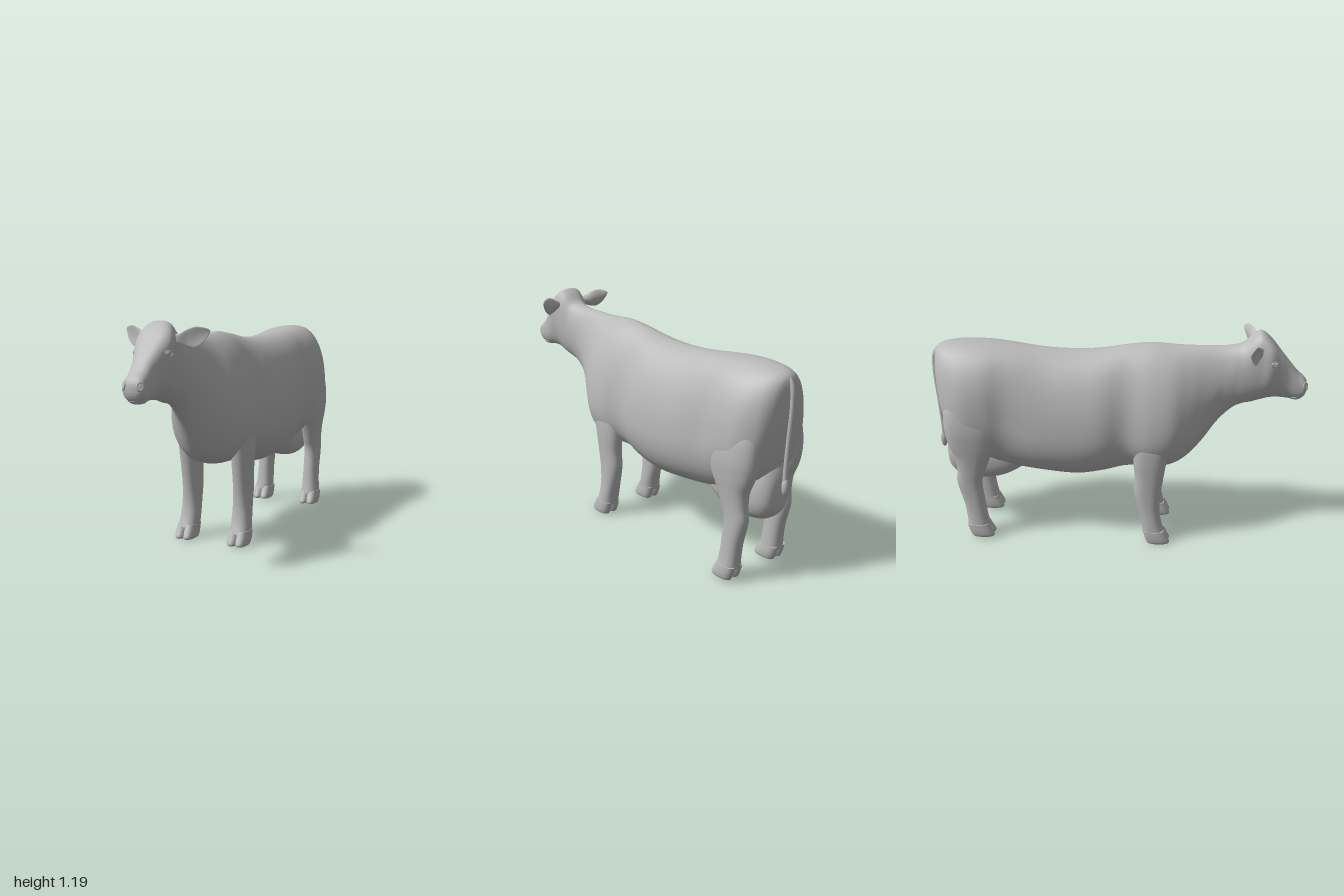
import * as THREE from 'three';

const hide = new THREE.MeshStandardMaterial({ color: 0xbababa });
hide.name = 'grey hide';

const pow = (v, p) => Math.sign(v) * Math.pow(Math.abs(v), 2 / p);

// Smoothly resample rows of numbers, column by column
function resample(rows, steps) {
  const cr = (a, b, c, d, t) => {
    const m = (c - a) / 2, n = (d - b) / 2, t2 = t * t, t3 = t2 * t;
    return (2 * t3 - 3 * t2 + 1) * b + (t3 - 2 * t2 + t) * m + (3 * t2 - 2 * t3) * c + (t3 - t2) * n;
  };
  const out = [], last = rows.length - 1;
  for (let k = 0; k <= last * steps; k++) {
    const i = Math.min(Math.floor(k / steps), last - 1), t = k / steps - i;
    const r = (n) => rows[Math.max(0, Math.min(last, n))];
    out.push(rows[0].map((_, c) => cr(r(i - 1)[c], r(i)[c], r(i + 1)[c], r(i + 2)[c], t)));
  }
  return out;
}

// Skin a closed surface over rings; point(row, cos, sin) gives [x, y, z]
function loft(name, rows, point, sides = 32, steps = 5) {
  const pos = [], idx = [], fine = resample(rows, steps);
  for (const row of fine) {
    for (let j = 0; j < sides; j++) {
      const a = (j / sides) * Math.PI * 2;
      pos.push(...point(row, Math.cos(a), Math.sin(a)));
    }
  }
  const n = fine.length;
  for (let i = 0; i < n - 1; i++) {
    for (let j = 0; j < sides; j++) {
      const a = i * sides + j, b = i * sides + (j + 1) % sides;
      idx.push(a, b, a + sides, b, b + sides, a + sides);
    }
  }
  for (const end of [0, n - 1]) {
    const start = pos.length / 3, mid = [0, 0, 0];
    for (let j = 0; j < sides; j++) {
      for (let c = 0; c < 3; c++) {
        const v = pos[(end * sides + j) * 3 + c];
        pos.push(v);
        mid[c] += v / sides;
      }
    }
    pos.push(...mid);
    for (let j = 0; j < sides; j++) {
      const a = start + j, b = start + (j + 1) % sides;
      idx.push(start + sides, ...(end ? [a, b] : [b, a]));
    }
  }
  const g = new THREE.BufferGeometry();
  g.setAttribute('position', new THREE.Float32BufferAttribute(pos, 3));
  g.setIndex(idx);
  g.computeVertexNormals();
  const mesh = new THREE.Mesh(g, hide);
  mesh.name = name;
  return mesh;
}

// Row: z, top, bottom, half width, height of widest point, upper and lower roundness
const trunkPoint = ([z, top, bot, w, yw, pt, pb], c, s) => {
  const p = s > 0 ? pt : pb;
  return [w * pow(c, p), yw + (s > 0 ? top - yw : yw - bot) * pow(s, p), z];
};
// Row: y, centre x, centre z, radius x, radius z
const limbPoint = ([y, cx, cz, rx, rz], c, s) => [cx + rx * pow(c, 2.3), y, cz - rz * pow(s, 2.3)];

function ball(name, x, y, z, rx, ry, rz) {
  const m = new THREE.Mesh(new THREE.SphereGeometry(1, 20, 14), hide);
  m.name = name;
  m.position.set(x, y, z);
  m.scale.set(rx, ry, rz);
  return m;
}

export function createModel() {
  const cow = new THREE.Group();
  cow.name = 'cow';

  // Trunk from rump to neck
  const trunk = [
    [-0.972, 1.05, 0.93, 0.03, 0.98, 2, 2],
    [-0.955, 1.08, 0.76, 0.1, 0.92, 2.1, 2],
    [-0.91, 1.1, 0.58, 0.17, 0.8, 2.2, 2.1],
    [-0.82, 1.11, 0.49, 0.222, 0.75, 2.2, 2.1],
    [-0.7, 1.107, 0.44, 0.224, 0.74, 2.4, 2.1],
    [-0.58, 1.095, 0.4, 0.203, 0.7, 2.6, 2.2],
    [-0.4, 1.075, 0.375, 0.222, 0.66, 2.1, 2.2],
    [-0.22, 1.067, 0.362, 0.232, 0.65, 2.0, 2.2],
    [-0.08, 1.077, 0.383, 0.228, 0.66, 1.95, 2.2],
    [0.05, 1.1, 0.415, 0.197, 0.67, 1.9, 2.3],
    [0.18, 1.115, 0.425, 0.219, 0.66, 1.8, 2.4],
    [0.29, 1.108, 0.43, 0.21, 0.67, 1.8, 2.2],
    [0.38, 1.105, 0.47, 0.162, 0.72, 1.8, 1.9],
    [0.46, 1.105, 0.56, 0.115, 0.8, 1.9, 1.8],
    [0.54, 1.106, 0.68, 0.088, 0.9, 2, 1.8],
    [0.61, 1.112, 0.755, 0.085, 0.95, 2.1, 1.9],
  ];
  // Head from nape to muzzle
  const head = [
    [0.66, 1.128, 0.785, 0.087, 0.97, 2.2, 2.1],
    [0.71, 1.172, 0.797, 0.091, 1.01, 2.6, 2.2],
    [0.75, 1.187, 0.81, 0.094, 1.03, 2.9, 2.2],
    [0.8, 1.148, 0.822, 0.101, 1.035, 3.0, 1.9],
    [0.85, 1.088, 0.826, 0.08, 0.995, 3.2, 2.0],
    [0.9, 1.028, 0.823, 0.062, 0.94, 3.0, 2.3],
    [0.945, 0.975, 0.818, 0.058, 0.9, 2.7, 2.4],
    [0.98, 0.944, 0.833, 0.055, 0.89, 2.5, 2.4],
    [0.995, 0.92, 0.855, 0.04, 0.888, 2.2, 2],
    [1.0, 0.9, 0.875, 0.012, 0.888, 2, 2],
  ];
  cow.add(loft('trunkAndHead', [...trunk, ...head], trunkPoint, 48, 6));
  cow.add(ball('lowerLip', 0, 0.838, 0.942, 0.046, 0.021, 0.043));

  // Udder
  cow.add(loft('udder', [
    [-0.945, 0.52, 0.42, 0.02, 0.47, 2, 2],
    [-0.928, 0.6, 0.37, 0.075, 0.47, 2, 2.2],
    [-0.87, 0.68, 0.327, 0.105, 0.47, 2, 2.5],
    [-0.75, 0.64, 0.31, 0.112, 0.45, 2, 2.6],
    [-0.64, 0.55, 0.325, 0.11, 0.45, 2, 2.5],
    [-0.55, 0.5, 0.367, 0.09, 0.45, 2, 2.2],
    [-0.48, 0.47, 0.41, 0.03, 0.45, 2, 2],
  ], trunkPoint));

  // Tail with a rounded switch
  const path = new THREE.CatmullRomCurve3([
    [1.065, -0.9], [1.07, -0.945], [1.035, -0.974], [0.95, -0.983], [0.75, -0.972], [0.6, -0.965], [0.52, -0.967],
  ].map(([y, z]) => new THREE.Vector3(0, y, z)));
  const tail = new THREE.Mesh(new THREE.TubeGeometry(path, 40, 0.012, 10), hide);
  tail.name = 'tail';
  cow.add(tail, ball('tailSwitch', 0, 0.525, -0.968, 0.018, 0.046, 0.018));

  for (const s of [1, -1]) {
    const side = s > 0 ? 'left' : 'right';

    // Legs, from fetlock up into the body
    cow.add(loft(side + 'FrontLeg', [
      [0.06, 0.157 * s, 0.21, 0.054, 0.061],
      [0.12, 0.154 * s, 0.195, 0.053, 0.055],
      [0.2, 0.153 * s, 0.18, 0.049, 0.059],
      [0.3, 0.153 * s, 0.172, 0.048, 0.073],
      [0.4, 0.154 * s, 0.18, 0.05, 0.078],
      [0.5, 0.154 * s, 0.183, 0.055, 0.09],
      [0.62, 0.143 * s, 0.195, 0.06, 0.1],
      [0.76, 0.1 * s, 0.2, 0.05, 0.08],
    ], limbPoint));
    cow.add(loft(side + 'HindLeg', [
      [0.075, 0.157 * s, -0.768, 0.053, 0.061],
      [0.14, 0.155 * s, -0.776, 0.048, 0.057],
      [0.22, 0.154 * s, -0.786, 0.045, 0.058],
      [0.34, 0.154 * s, -0.805, 0.045, 0.068],
      [0.42, 0.155 * s, -0.79, 0.048, 0.078],
      [0.5, 0.156 * s, -0.778, 0.056, 0.097],
      [0.58, 0.155 * s, -0.775, 0.067, 0.131],
      [0.68, 0.148 * s, -0.777, 0.08, 0.145],
      [0.8, 0.128 * s, -0.785, 0.083, 0.13],
      [0.92, 0.09 * s, -0.79, 0.06, 0.09],
    ], limbPoint));

    // Cloven hooves
    for (const [name, y0, cz] of [['FrontHoof', 0, 0.235], ['HindHoof', 0.015, -0.745]]) {
      const hoof = new THREE.Group();
      hoof.name = side + name;
      for (const t of [-1, 1]) {
        const cx = 0.157 * s + 0.024 * t;
        hoof.add(loft('toe', [
          [y0, cx, cz, 0.026, 0.06],
          [y0 + 0.012, cx, cz - 0.002, 0.031, 0.064],
          [y0 + 0.04, cx, cz - 0.014, 0.033, 0.062],
          [y0 + 0.075, cx, cz - 0.027, 0.031, 0.058],
        ], limbPoint, 24, 4));
      }
      cow.add(hoof);
    }

    // Leaf-shaped ear; row: x, y, z, half height, half thickness
    cow.add(loft(side + 'Ear', [
      [0.06, 1.105, 0.745, 0.018, 0.014],
      [0.1, 1.105, 0.732, 0.025, 0.016],
      [0.135, 1.109, 0.712, 0.041, 0.013],
      [0.17, 1.113, 0.698, 0.048, 0.009],
      [0.2, 1.122, 0.687, 0.036, 0.007],
      [0.22, 1.134, 0.68, 0.018, 0.005],
      [0.229, 1.14, 0.677, 0.003, 0.002],
    ], ([x, y, z, h, t], c, n) => [
      s * x, y + h * c, z + s * t * n + 0.012 * c * c * (h / 0.047),
    ], 24, 5));

    // Eye with a lid
    cow.add(ball(side + 'Eye', 0.091 * s, 1.042, 0.817, 0.009, 0.012, 0.017));
    const lid = new THREE.Mesh(new THREE.TorusGeometry(0.019, 0.005, 8, 20), hide);
    lid.name = side + 'Eyelid';
    lid.position.set(0.093 * s, 1.042, 0.817);
    lid.rotation.y = s * 1.15;
    lid.scale.y = 0.7;
    cow.add(lid);

    // Nostril rim
    const rim = new THREE.Mesh(new THREE.TorusGeometry(0.014, 0.005, 8, 20), hide);
    rim.name = side + 'Nostril';
    rim.position.set(0.043 * s, 0.905, 0.988);
    rim.rotation.set(-0.3, s * 0.75, 0);
    rim.scale.y = 1.3;
    cow.add(rim);
  }
  return cow;
}
